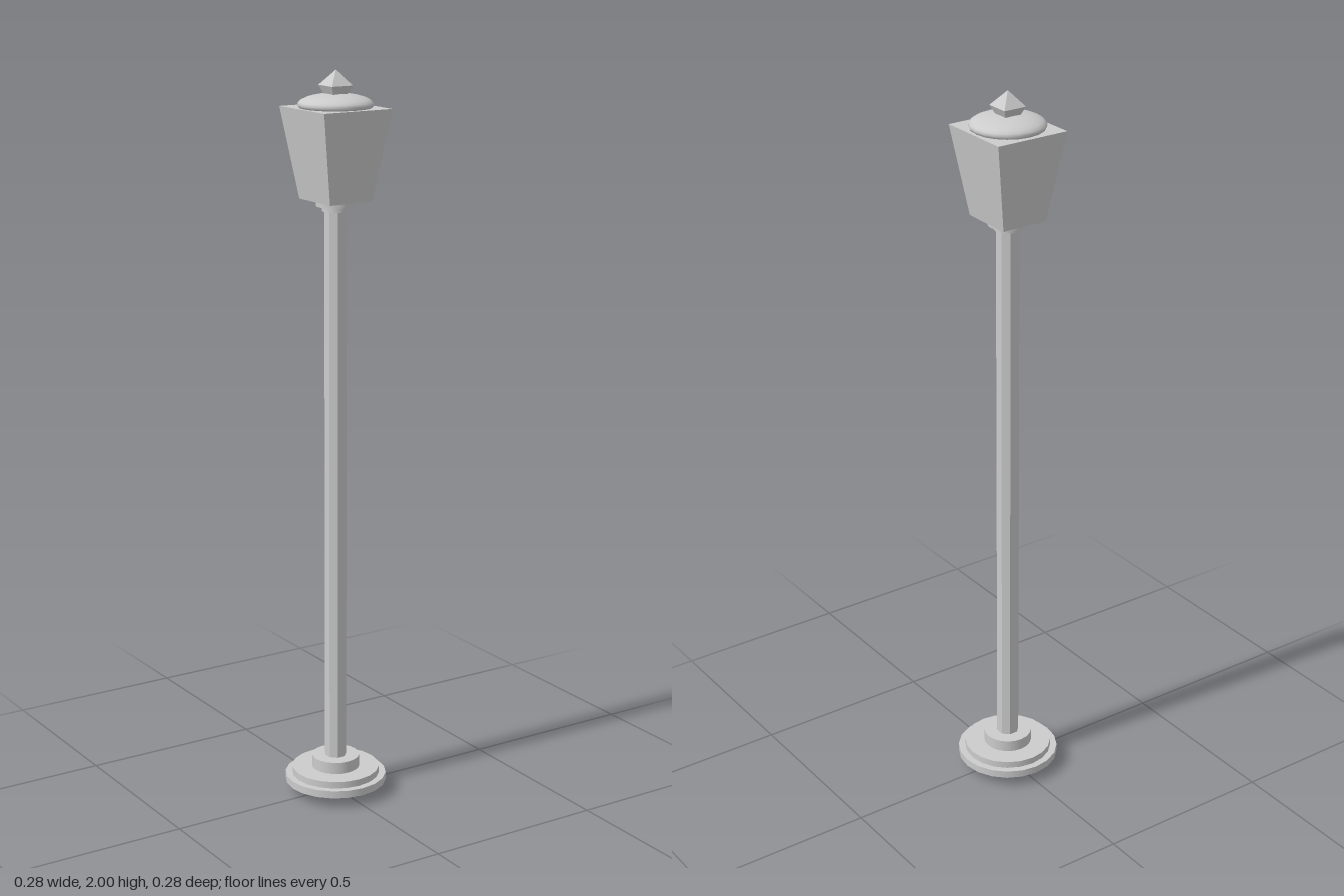
import * as THREE from 'three';

export function createModel() {
  const group = new THREE.Group();
  group.name = 'streetLamp';
  const smooth = new THREE.MeshStandardMaterial({ color: 0xcccccc });
  const flat = new THREE.MeshStandardMaterial({ color: 0xcccccc, flatShading: true });

  const add = (name, geometry, material) => {
    const mesh = new THREE.Mesh(geometry, material);
    mesh.name = name;
    group.add(mesh);
    return mesh;
  };

  // Upright round disc between two heights
  const disc = (name, r, y0, y1) =>
    add(name, new THREE.CylinderGeometry(r, r, y1 - y0, 20).translate(0, (y0 + y1) / 2, 0), smooth);

  // Four-sided taper with half-widths [x, z] at bottom and top
  const taper = (name, y0, [x0, z0], y1, [x1, z1]) => {
    const g = new THREE.BoxGeometry(2, 1, 2);
    const p = g.attributes.position;
    for (let i = 0; i < p.count; i++) {
      const top = p.getY(i) > 0;
      p.setXYZ(i, p.getX(i) * (top ? x1 : x0), top ? y1 : y0, p.getZ(i) * (top ? z1 : z0));
    }
    return add(name, g, flat);
  };

  // Stepped base
  disc('baseLower', 0.141, 0.03, 0.051);
  disc('baseMiddle', 0.122, 0.051, 0.07);
  disc('baseUpper', 0.067, 0.07, 0.103);

  // Eight-sided pole
  add('pole', new THREE.CylinderGeometry(0.031, 0.031, 1.64, 8)
    .rotateY(Math.PI / 8).translate(0, 0.82, 0), flat);

  // Collars under the lantern
  disc('collarLower', 0.037, 1.634, 1.647);
  disc('collarUpper', 0.053, 1.647, 1.664);

  // Lantern body, wider at the top
  taper('lantern', 1.662, [0.066, 0.075], 1.903, [0.105, 0.109]);

  // Flattened dome cap
  const cap = add('domeCap', new THREE.SphereGeometry(0.1, 20, 14), smooth);
  cap.scale.y = 0.29;
  cap.position.y = 1.911;

  // Pointed finial on a tapered foot
  taper('finialFoot', 1.936, [0.022, 0.022], 1.96, [0.033, 0.033]);
  add('finialPoint', new THREE.ConeGeometry(0.033 * Math.SQRT2, 0.04, 4)
    .rotateY(Math.PI / 4).translate(0, 1.98, 0), flat);

  return group;
}
